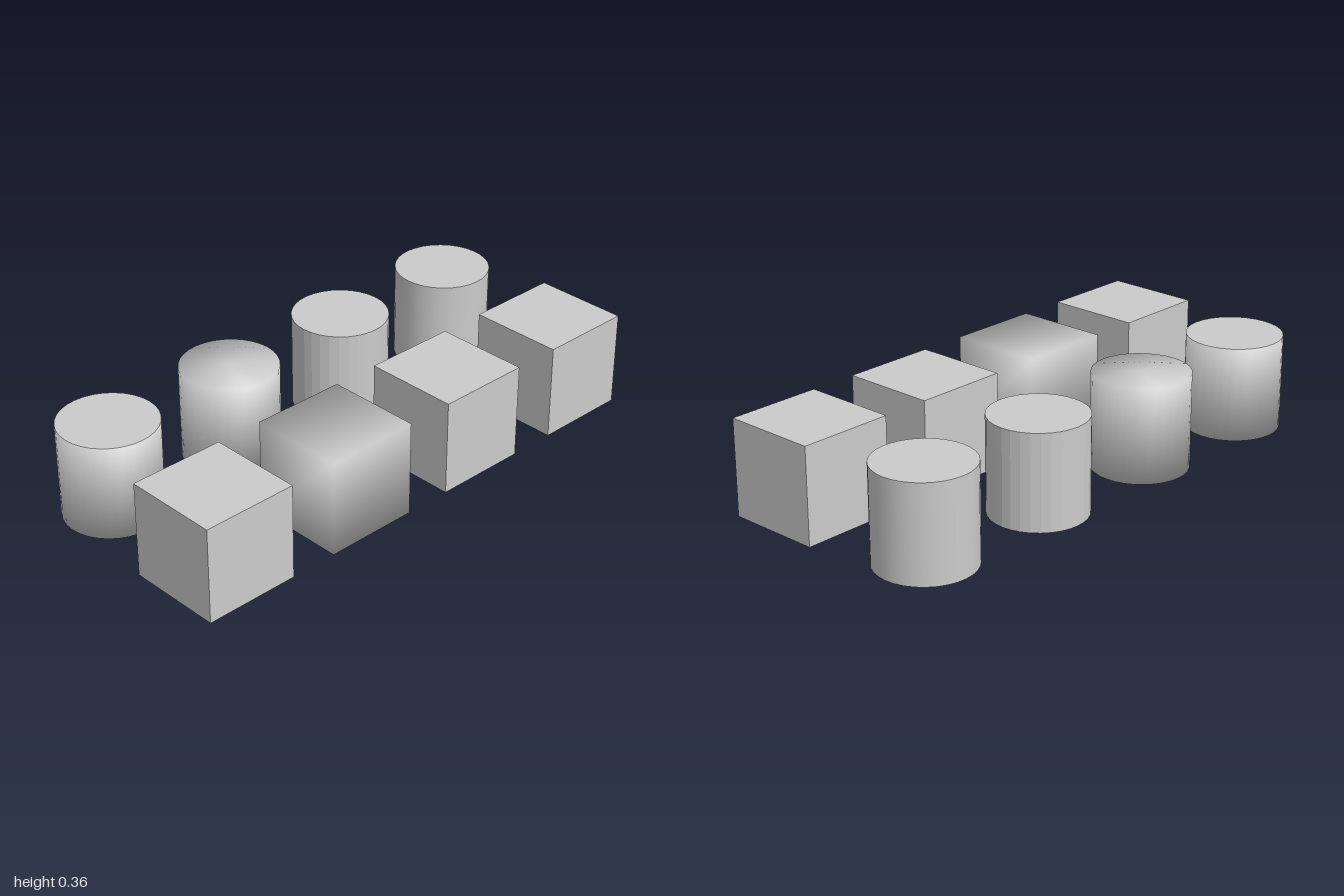
import * as THREE from 'three';

const SIZE = 0.3636, STEP = 0.5455, SIDES = 32;

// Points the first `count` normals outward from the centre, as on a ball.
function roundNormals(geometry, count = geometry.attributes.position.count) {
  const { position, normal } = geometry.attributes;
  const v = new THREE.Vector3();
  for (let i = 0; i < count; i++) {
    v.fromBufferAttribute(position, i).normalize();
    normal.setXYZ(i, v.x, v.y, v.z);
  }
  return geometry;
}

export function createModel() {
  const model = new THREE.Group();
  const smooth = new THREE.MeshStandardMaterial({ color: 0xcccccc });
  const faceted = new THREE.MeshStandardMaterial({ color: 0xcccccc, flatShading: true });
  const cube = () => new THREE.BoxGeometry(SIZE, SIZE, SIZE);
  const cylinder = () => new THREE.CylinderGeometry(SIZE / 2, SIZE / 2, SIZE, SIDES);
  const sideVertices = 2 * (SIDES + 1);

  // Rows from back to front, each with its own shading
  const rows = [
    { name: 'sharpEdged', box: cube(), round: cylinder(), material: smooth },
    { name: 'faceted', box: cube(), round: cylinder(), material: faceted },
    { name: 'softShaded', box: roundNormals(cube()), round: roundNormals(cylinder()), material: smooth },
    { name: 'flatCapped', box: cube(), round: roundNormals(cylinder(), sideVertices), material: smooth },
  ];

  rows.forEach(({ name, box, round, material }, row) => {
    const add = (part, geometry, x) => {
      const mesh = new THREE.Mesh(geometry, material);
      mesh.name = name + part;
      mesh.position.set(x, SIZE / 2, (row - 1.5) * STEP);
      model.add(mesh);
    };
    add('Cube', box, STEP / 2);
    add('Cylinder', round, -STEP / 2);
  });

  return model;
}
